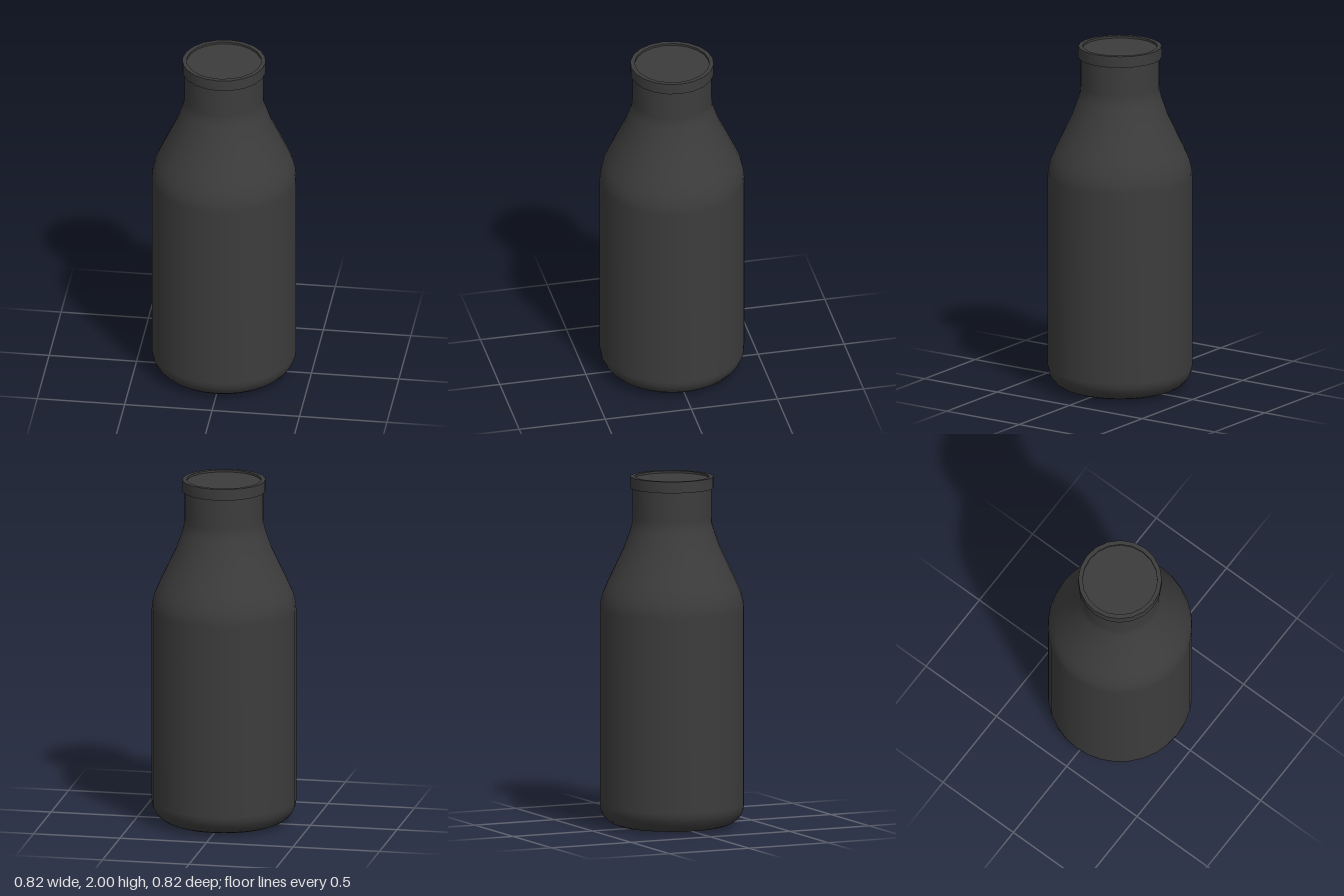
import * as THREE from 'three';
import { toCreasedNormals } from 'three/addons/utils/BufferGeometryUtils.js';

// Revolve a list of [radius, height] points, listed from the bottom up
function revolve(name, points, sides, material, crease) {
  const profile = points.map(([r, y]) => new THREE.Vector2(r, y));
  let geometry = new THREE.LatheGeometry(profile, sides);
  if (crease) geometry = toCreasedNormals(geometry, crease);
  const mesh = new THREE.Mesh(geometry, material);
  mesh.name = name;
  return mesh;
}

export function createModel() {
  const model = new THREE.Group();
  model.name = 'bottle';
  const dark = new THREE.MeshStandardMaterial({ color: 0x3c3c3c });

  // Body: flat base, rounded heel, straight wall, sloping shoulder, neck
  const heel = [];
  for (let i = 0; i <= 6; i++) {
    const a = (i / 6) * Math.PI / 2;
    heel.push([0.28 + 0.13 * Math.sin(a), 0.125 - 0.12 * Math.cos(a)]);
  }
  model.add(revolve('body', [
    [0, 0], [0.24, 0], ...heel,
    [0.41, 1.24], [0.406, 1.285], [0.392, 1.34], [0.365, 1.4],
    [0.318, 1.5], [0.271, 1.6], [0.236, 1.7], [0.227, 1.735], [0.225, 1.765],
    [0.225, 1.95],
  ], 32, dark));

  // Cap: short skirt with a narrow raised rim around a shallow recess
  model.add(revolve('cap', [
    [0, 1.935], [0.237, 1.935], [0.237, 2], [0.212, 2], [0.212, 1.988], [0, 1.988],
  ], 20, dark, 0.7));

  return model;
}
